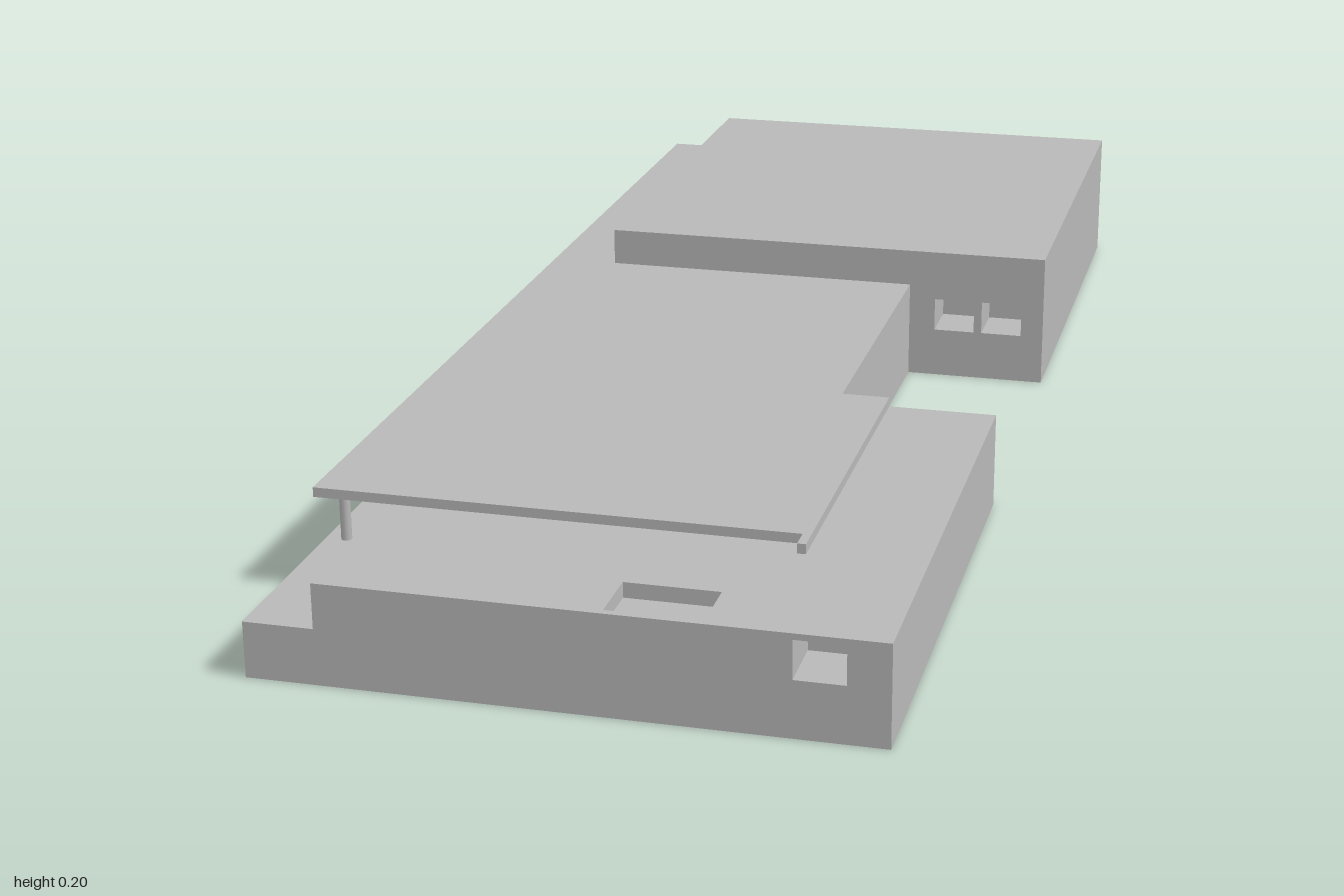
import * as THREE from 'three';

export function createModel() {
  const model = new THREE.Group();
  model.name = 'building';
  const concrete = new THREE.MeshStandardMaterial({ color: 0xb8b8b8 });
  concrete.name = 'concrete grey';

  const add = (name, geometry) => {
    const mesh = new THREE.Mesh(geometry, concrete);
    mesh.name = name;
    model.add(mesh);
    return mesh;
  };

  // Solid block given by its limits on each axis
  const block = (name, x0, x1, y0, y1, z0, z1) =>
    add(name, new THREE.BoxGeometry(x1 - x0, y1 - y0, z1 - z0)
      .translate((x0 + x1) / 2, (y0 + y1) / 2, (z0 + z1) / 2));

  const rect = (x0, x1, y0, y1) =>
    [[x0, y0], [x1, y0], [x1, y1], [x0, y1]].map(([x, y]) => new THREE.Vector2(x, y));

  const extrude = (outline, holes, depth) => {
    const shape = new THREE.Shape(outline);
    holes.forEach((h) => shape.holes.push(new THREE.Path(rect(...h))));
    return new THREE.ExtrudeGeometry(shape, { depth, bevelEnabled: false });
  };

  // Upright wall with window openings, from z0 to z1
  const wall = (name, x0, x1, y1, z0, z1, holes) =>
    add(name, extrude(rect(x0, x1, 0, y1), holes, z1 - z0).translate(0, 0, z0));

  // Horizontal slab whose outline is given in x and -z
  const slab = (name, outline, holes, y0, y1) =>
    add(name, extrude(outline, holes, y1 - y0).rotateX(-Math.PI / 2).translate(0, y0, 0));

  const left = -0.3;
  const reveal = 0.08; // depth of the window openings

  // Raised walkway along the side
  block('walkway', -0.39, left, 0, 0.073, -1, 1);

  // Front wing: skylit part and windowed end
  const frontTop = 0.132;
  block('frontWingBase', left, 0.2, 0, 0.112, 0.255, 1);
  slab('frontWingRoof', rect(left, 0.2, -1, -0.255), [[0.055, 0.175, -0.99, -0.91]], 0.112, frontTop);
  const frontWindow = [[0.28, 0.343, 0.074, 0.124]];
  block('frontWingEnd', 0.2, 0.395, 0, frontTop, 0.255 + reveal, 1 - reveal);
  wall('frontWindowWall', 0.2, 0.395, frontTop, 1 - reveal, 1, frontWindow);
  wall('courtWindowWall', 0.2, 0.395, frontTop, 0.255, 0.255 + reveal, frontWindow);

  // Middle hall
  block('middleHall', left, 0.18, 0, frontTop, -0.255, 0.255);

  // Tall rear wing with a pair of windows facing the court
  block('rearWing', left, 0.39, 0, 0.2, -1, -0.255 - reveal);
  wall('rearWindowWall', left, 0.39, 0.2, -0.255 - reveal, -0.255,
    [[0.22, 0.282, 0.074, 0.124], [0.294, 0.356, 0.074, 0.124]]);

  // Thin roof over the hall and walkway, with a short lip at its front corner
  const roofOutline = [
    [-0.4, 1], [-0.4, -0.75], [0.235, -0.75], [0.235, -0.78], [0.246, -0.78],
    [0.246, -0.255], [0.18, -0.255], [0.18, 0.255], [left, 0.255], [left, 1],
  ].map(([x, y]) => new THREE.Vector2(x, y));
  slab('canopyRoof', roofOutline, [], 0.132, 0.145);

  // Row of round posts carrying the canopy
  const postGeometry = new THREE.CylinderGeometry(0.007, 0.007, 0.06, 12);
  for (let i = 0; i < 9; i++) {
    add('canopyPost', postGeometry).position.set(-0.363, 0.103, -0.983 + i * 0.215);
  }

  return model;
}
